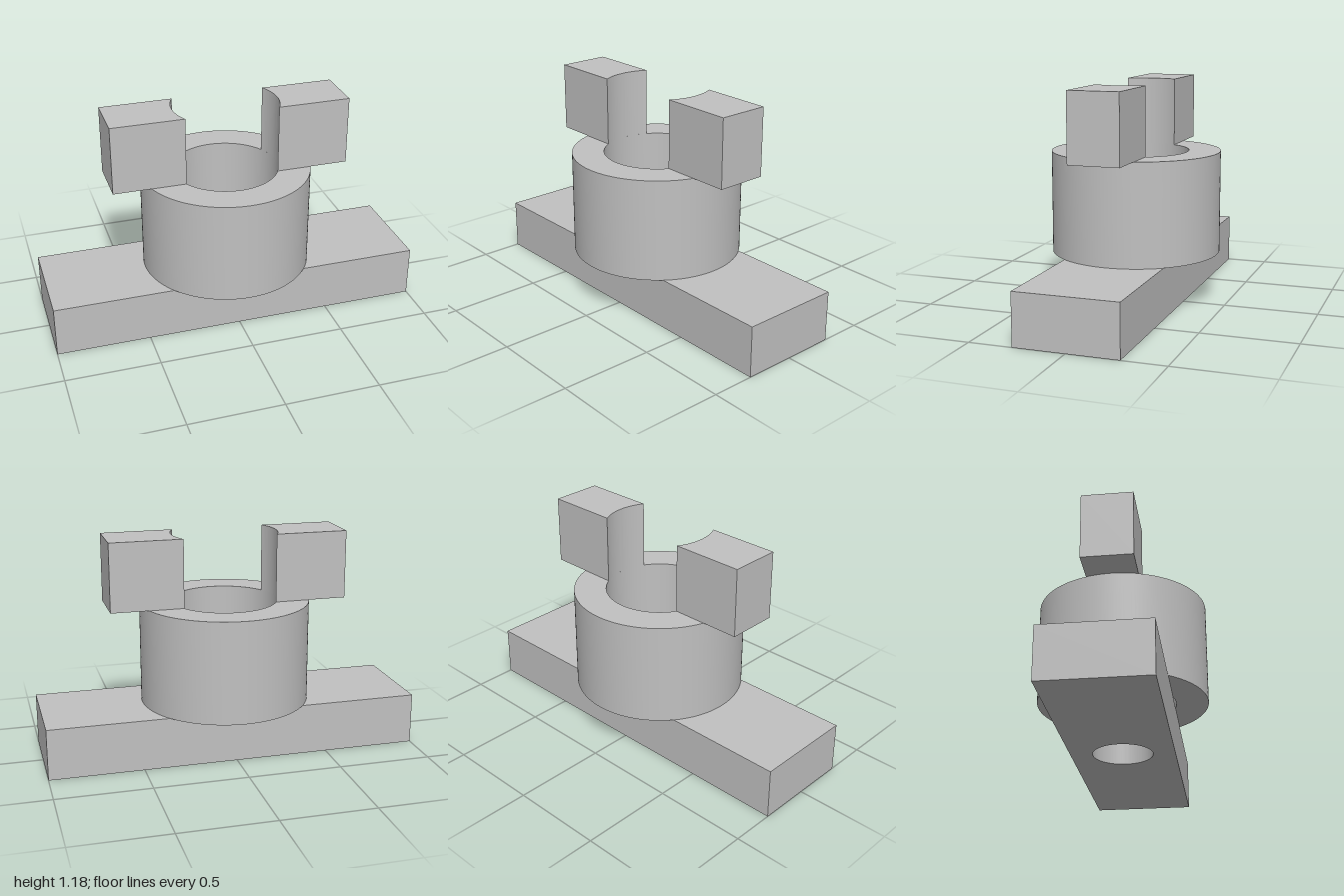
import * as THREE from 'three';
import { toCreasedNormals } from 'three/addons/utils/BufferGeometryUtils.js';

const BASE_TOP = 0.274, COLLAR_TOP = 0.82, LUG_TOP = 1.184;
const HOLE_R = 0.157, BORE_R = 0.283, COLLAR_R = 0.453;
const LUG_HALF = 0.136, LUG_END = 0.634;

export function createModel() {
  const group = new THREE.Group();
  const grey = new THREE.MeshStandardMaterial({ color: 0xc0c0c0 });
  grey.name = 'grey';

  // Raises a plan outline from one height to another
  const raise = (name, shape, bottom, top) => {
    const geo = new THREE.ExtrudeGeometry(shape, { depth: top - bottom, bevelEnabled: false, curveSegments: 72 });
    geo.rotateX(-Math.PI / 2);
    geo.translate(0, bottom, 0);
    const mesh = new THREE.Mesh(toCreasedNormals(geo, 0.5), grey);
    mesh.name = name;
    group.add(mesh);
    return mesh;
  };
  const circle = (path, r) => path.absarc(0, 0, r, 0, Math.PI * 2, false);

  // Rectangular base bar with a through hole
  const bar = new THREE.Shape();
  bar.moveTo(-1, -0.272).lineTo(1, -0.272).lineTo(1, 0.272).lineTo(-1, 0.272).closePath();
  bar.holes.push(circle(new THREE.Path(), HOLE_R));
  raise('baseBar', bar, 0, BASE_TOP);

  // Round collar with a wider bore
  const ring = circle(new THREE.Shape(), COLLAR_R);
  ring.holes.push(circle(new THREE.Path(), BORE_R));
  raise('collar', ring, BASE_TOP, COLLAR_TOP);

  // Two lugs whose inner ends follow the bore
  const angle = Math.asin(LUG_HALF / BORE_R);
  const lug = new THREE.Shape();
  lug.moveTo(LUG_END, -LUG_HALF).lineTo(LUG_END, LUG_HALF);
  lug.absarc(0, 0, BORE_R, angle, -angle, true);
  lug.closePath();
  raise('leftLug', lug, COLLAR_TOP, LUG_TOP);
  raise('rightLug', lug, COLLAR_TOP, LUG_TOP).rotation.y = Math.PI;

  return group;
}
